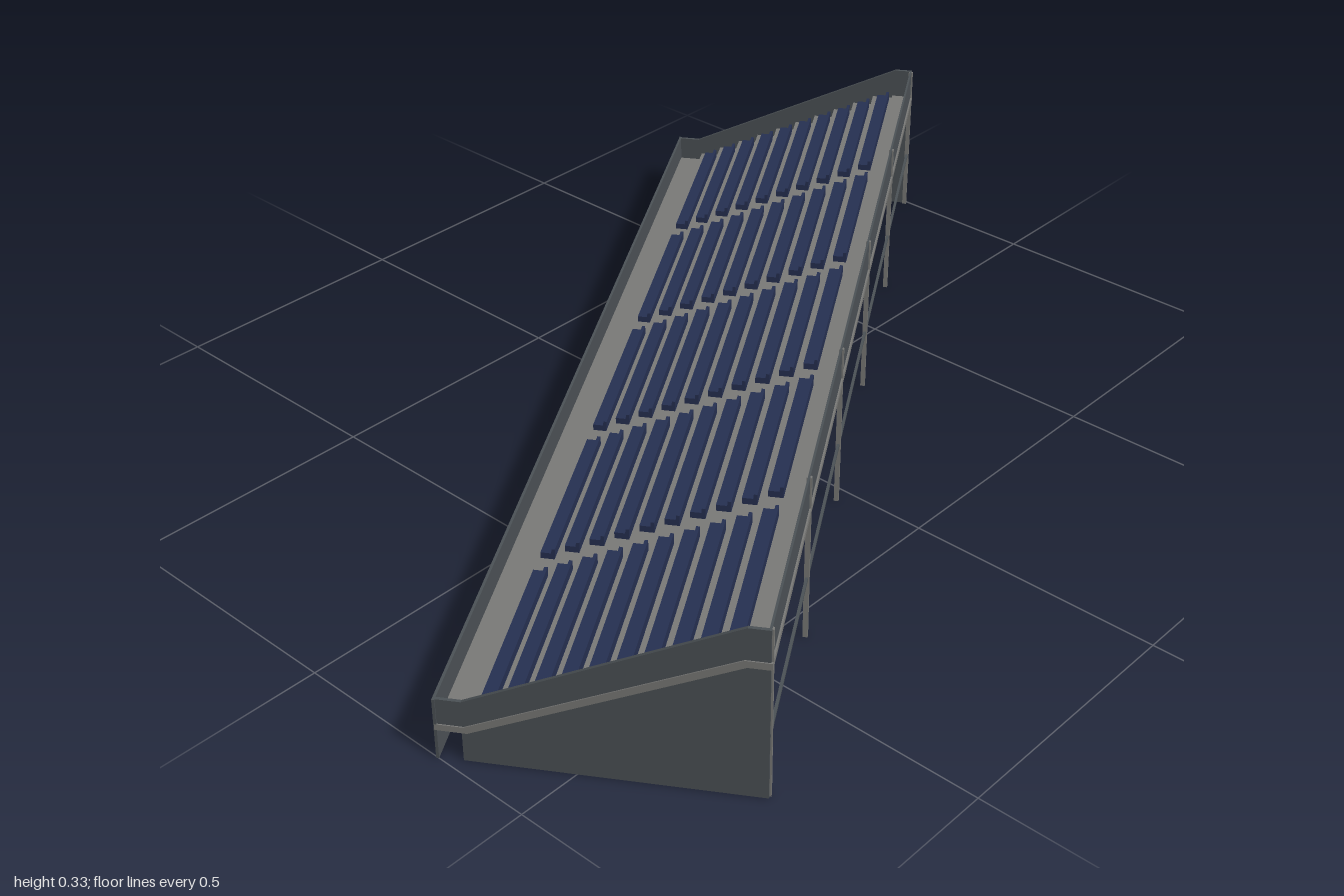
import * as THREE from 'three';

const L = 2.026;        // length of the stand
const W = 0.269;        // half depth
const BAY = L / 5;
const ROWS = 10, PITCH = 0.044, RISE = 0.02, V0 = -0.215;

const mat = (name, color) => {
  const m = new THREE.MeshStandardMaterial({ color });
  m.name = name;
  return m;
};

export function createModel() {
  const concrete = mat('concrete grey', 0x7a7a78);
  const cladding = mat('dark cladding', 0x4c5256);
  const navy = mat('seat navy', 0x263052);

  const model = new THREE.Group();
  model.name = 'grandstand';
  const stand = new THREE.Group();
  stand.name = 'stand';
  stand.rotation.y = 0.556;
  model.add(stand);

  // extrude a cross-section along the stand, centred on z
  const section = (name, points, length, z, material) => {
    const shape = new THREE.Shape(points.map(([x, y]) => new THREE.Vector2(x, y)));
    const geo = new THREE.ExtrudeGeometry(shape, { depth: length, bevelEnabled: false });
    geo.translate(0, 0, z - length / 2);
    const mesh = new THREE.Mesh(geo, material);
    mesh.name = name;
    stand.add(mesh);
  };
  const box = (name, x0, x1, y0, y1, length, z, material) => {
    const mesh = new THREE.Mesh(new THREE.BoxGeometry(x1 - x0, y1 - y0, length), material);
    mesh.position.set((x0 + x1) / 2, (y0 + y1) / 2, z);
    mesh.name = name;
    stand.add(mesh);
  };

  // stepped terrace with a flat, sloping underside and walkways front and back
  const terrace = [[W - 0.005, 0.258], [W - 0.005, 0.27], [V0 + ROWS * PITCH, 0.27]];
  for (let i = ROWS - 1; i >= 0; i--) {
    const y = 0.085 + i * RISE;
    terrace.push([V0 + (i + 1) * PITCH, y], [V0 + i * PITCH, y]);
  }
  terrace.push([V0, 0.07], [-W + 0.003, 0.07], [-W + 0.003, 0.058], [V0, 0.058], [0.225, 0.258]);
  section('terrace', terrace, L - 0.012, 0, concrete);

  // end walls with parapet, and the slab edge showing as a trim strip
  const endWall = [[-0.224, 0], [W - 0.003, 0], [W - 0.003, 0.332], [0.23, 0.332],
    [-0.222, 0.12], [-W + 0.001, 0.12], [-W + 0.001, 0.06], [-0.224, 0.06]];
  const trim = [[-W + 0.001, 0.058], [V0, 0.058], [0.23, 0.258], [W, 0.258],
    [W, 0.271], [0.226, 0.271], [-0.22, 0.07], [-W + 0.001, 0.07]];
  for (const s of [-1, 1]) {
    section('endWall', endWall, 0.006, s * (L / 2 - 0.005), cladding);
    section('endTrim', trim, 0.004, s * (L / 2 - 0.002), concrete);
  }

  // front and back parapets
  box('frontWall', -W, -W + 0.005, 0, 0.12, L, 0, cladding);
  box('backParapet', W - 0.007, W - 0.003, 0.258, 0.332, L - 0.006, 0, cladding);
  box('backTrim', W - 0.004, W, 0.258, 0.27, L, 0, concrete);

  // rail and posts on the open back
  box('backRail', W - 0.007, W - 0.002, 0.122, 0.128, L - 0.012, 0, cladding);
  for (let i = 0; i <= 5; i++) {
    const z = Math.max(-L / 2 + 0.01, Math.min(L / 2 - 0.01, -L / 2 + i * BAY));
    box('backPost', W - 0.009, W, 0, 0.331, 0.007, z, concrete);
    box('innerPost', -0.071, -0.063, 0, 0.13, 0.008, z, cladding);
  }

  // seat rows in five bays, with aisles between
  for (let bay = 0; bay < 5; bay++) {
    const z = (bay - 2) * BAY;
    for (let i = 0; i < ROWS; i++) {
      const x = V0 + i * PITCH + 0.012, y = 0.085 + i * RISE;
      section('seatRow', [[x, y], [x + 0.026, y], [x + 0.026, y + 0.021],
        [x + 0.02, y + 0.021], [x + 0.019, y + 0.012], [x, y + 0.012]], BAY - 0.05, z, navy);
    }
  }
  return model;
}
